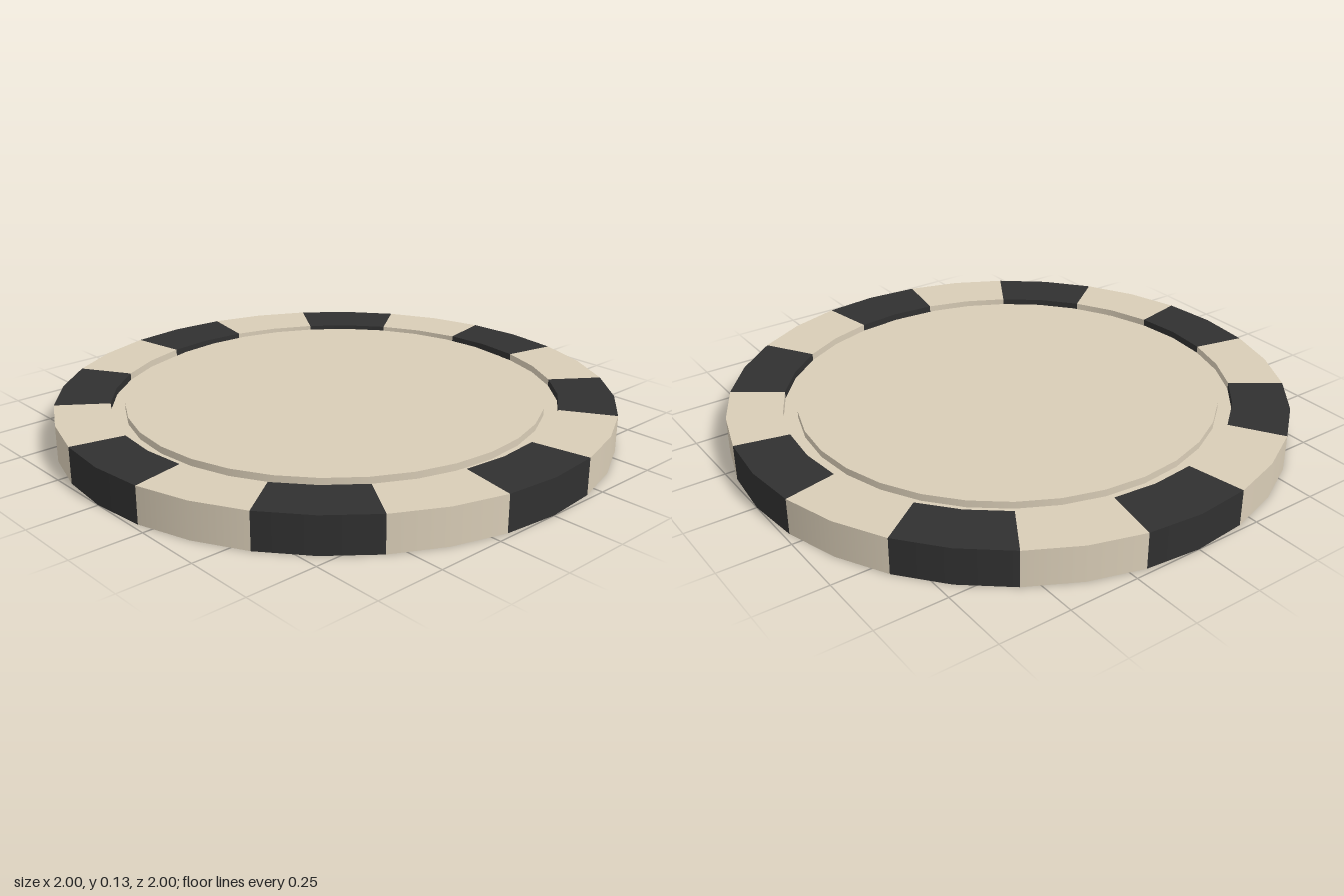
import * as THREE from 'three';
import { mergeGeometries } from 'three/addons/utils/BufferGeometryUtils.js';

const HEIGHT = 0.13, GROOVE = 0.025, R_OUT = 1, R_RING = 0.8, R_DISC = 0.75;
const SIDES = 32, STEP = (Math.PI * 2) / SIDES;

// Revolves each profile edge on its own, so edges stay sharp and walls smooth.
function revolve(edges, segments, start, length) {
  const geo = mergeGeometries(edges.map(([a, b]) => new THREE.LatheGeometry(
    [new THREE.Vector2(...a), new THREE.Vector2(...b)], segments, start, length)));
  // The inner circles are very slightly oval.
  const p = geo.attributes.position;
  for (let i = 0; i < p.count; i++) {
    const x = p.getX(i), z = p.getZ(i);
    if (Math.hypot(x, z) < 0.9) p.setXYZ(i, x * 0.99, p.getY(i), z * 1.01);
  }
  return geo;
}

export function createModel() {
  const group = new THREE.Group();
  const cream = new THREE.MeshStandardMaterial({ color: 0xd8ccb6 });
  const dark = new THREE.MeshStandardMaterial({ color: 0x303030 });

  const add = (name, geo, mat) => {
    const mesh = new THREE.Mesh(geo, mat);
    mesh.name = name;
    group.add(mesh);
  };

  // Centre disc with the groove floor around it, top and bottom
  const top = HEIGHT - GROOVE;
  add('centreDisc', revolve([
    [[0, 0], [R_DISC, 0]],
    [[R_DISC, 0], [R_DISC, GROOVE]],
    [[R_DISC, GROOVE], [R_RING, GROOVE]],
    [[R_RING, top], [R_DISC, top]],
    [[R_DISC, top], [R_DISC, HEIGHT]],
    [[R_DISC, HEIGHT], [0, HEIGHT]],
  ], SIDES, 0, Math.PI * 2), cream);

  // Rim of alternating dark and cream blocks, two sides each
  const rim = [
    [[R_RING, 0], [R_OUT, 0]],
    [[R_OUT, 0], [R_OUT, HEIGHT]],
    [[R_OUT, HEIGHT], [R_RING, HEIGHT]],
    [[R_RING, HEIGHT], [R_RING, top]],
    [[R_RING, GROOVE], [R_RING, 0]],
  ];
  for (let i = 0; i < SIDES / 2; i++) {
    const isDark = i % 2 === 0;
    add(isDark ? 'darkRimBlock' : 'creamRimBlock',
      revolve(rim, 2, (2 * i - 1) * STEP, 2 * STEP), isDark ? dark : cream);
  }
  return group;
}
